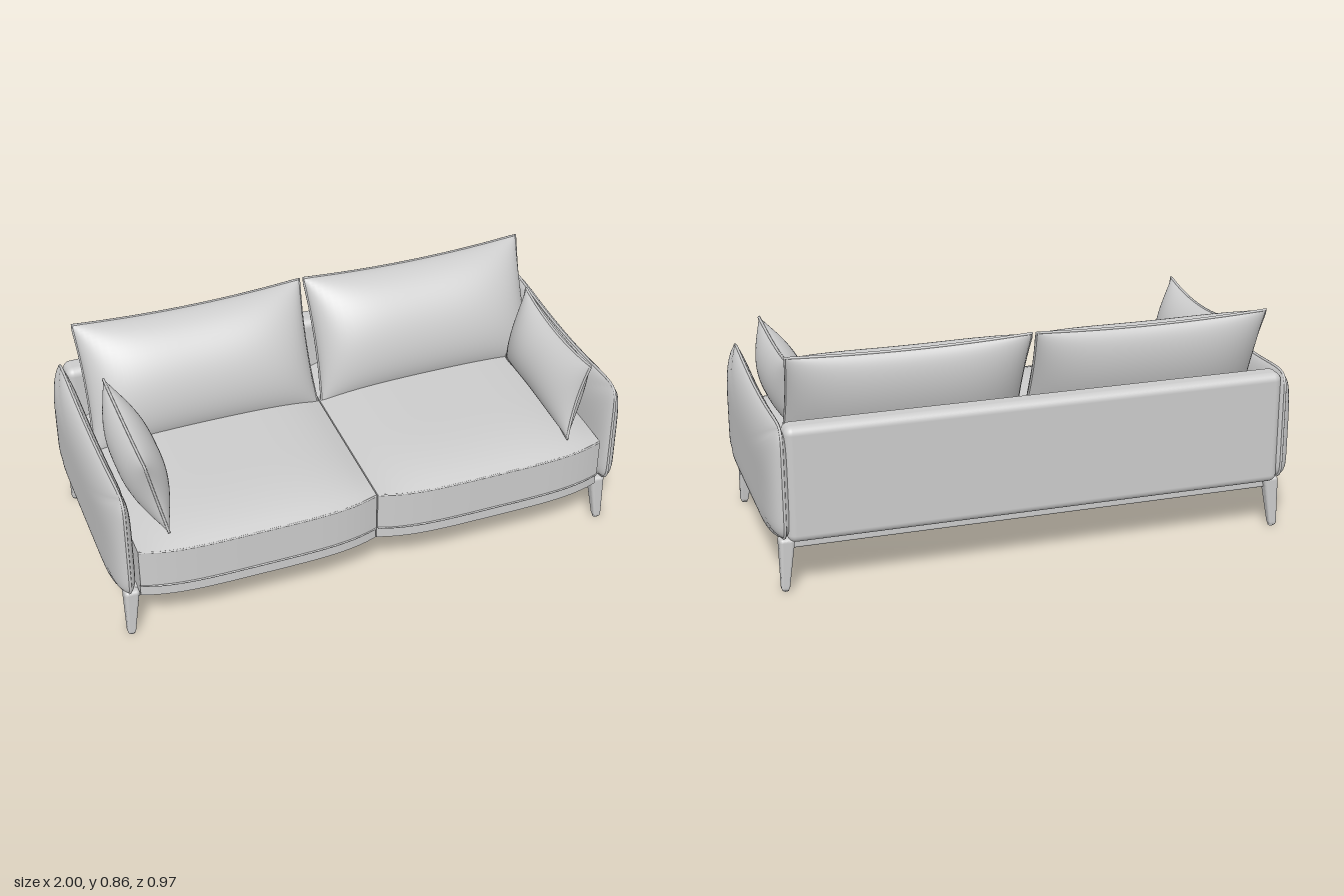
import * as THREE from 'three';
import { RoundedBoxGeometry } from 'three/addons/geometries/RoundedBoxGeometry.js';

const upholstery = new THREE.MeshStandardMaterial({ color: 0xcccccc });
upholstery.name = 'light grey';

function addMesh(parent, name, geometry, x = 0, y = 0, z = 0) {
  const mesh = new THREE.Mesh(geometry, upholstery);
  mesh.name = name;
  mesh.position.set(x, y, z);
  parent.add(mesh);
  return mesh;
}

function piping(points, closed, radius = 0.005) {
  const path = new THREE.CatmullRomCurve3(points, closed);
  return new THREE.TubeGeometry(path, points.length * 2, radius, 6, closed);
}

// Two bulging shells meeting at a piped seam; u and v run from -1 to 1
function pillow(name, outline, front, back) {
  const n = 32;
  const at = i => Math.sin((i / n - 0.5) * Math.PI);
  const group = new THREE.Group();
  group.name = name;
  [1, -1].forEach(side => {
    const pos = [], index = [];
    for (let j = 0; j <= n; j++) {
      for (let i = 0; i <= n; i++) {
        const u = at(i), v = at(j);
        const depth = side > 0 ? front(u, v) : -back(u, v);
        pos.push(...outline(u, v), depth);
        if (i < n && j < n) {
          const a = j * (n + 1) + i, b = a + 1, c = a + n + 1, d = c + 1;
          if (side > 0) index.push(a, b, d, a, d, c);
          else index.push(a, d, b, a, c, d);
        }
      }
    }
    const geometry = new THREE.BufferGeometry();
    geometry.setAttribute('position', new THREE.Float32BufferAttribute(pos, 3));
    geometry.setIndex(index);
    geometry.computeVertexNormals();
    addMesh(group, name + (side > 0 ? 'Front' : 'Back'), geometry);
  });
  const seam = [];
  const corners = [[-1, -1], [1, -1], [1, 1], [-1, 1]];
  corners.forEach(([u0, v0], k) => {
    const [u1, v1] = corners[(k + 1) % 4];
    for (let i = 0; i < n; i += 2) {
      const t = (at(i) + 1) / 2;
      const p = outline(u0 + (u1 - u0) * t, v0 + (v1 - v0) * t);
      seam.push(new THREE.Vector3(p[0], p[1], 0));
    }
  });
  addMesh(group, name + 'Piping', piping(seam, true));
  return group;
}

// Fall-off from the middle of a cushion to its seam
const soft = (t, power, root = 0.5) => Math.pow(Math.max(0, 1 - Math.pow(Math.abs(t), power)), root);

// Cushion outline with slightly hollow edges and pointed corners
const cushionOutline = (w, h, dip) => (u, v) => [
  w * u * (1 - dip * 0.4 * (1 - v * v)),
  h * v * (1 - dip * (1 - u * u)),
];

function makeArm(s) {
  const outline = (u0, v0) => {
    // round the corners of the square
    const m = Math.max(Math.abs(u0), Math.abs(v0));
    const k = m < 1e-6 ? 1 : m / Math.pow((Math.abs(u0) ** 10) + (Math.abs(v0) ** 10), 0.1);
    const u = u0 * k, v = v0 * k, f = -s * u;
    const top = 0.62 + 0.01 * f + 0.037 * f * f;
    return [s * 0.0175 + 0.4675 * u, 0.2 + (top - 0.2) * (v + 1) / 2];
  };
  const bulge = (u, v) => soft(u, 8) * (v > 0 ? soft(v, 3, 0.6) : soft(v, 10));
  const arm = pillow(s > 0 ? 'leftArm' : 'rightArm', outline,
    (u, v) => 0.055 * bulge(u, v), (u, v) => 0.04 * bulge(u, v));
  arm.position.x = s * 0.945;
  arm.rotation.y = s * Math.PI / 2;
  return arm;
}

// Seat slab with a bowed front and, optionally, a crowned top
const seatFront = (u, z) => z + 0.043 * (1 - u ** 4);
function seatSlab(y0, y1, zFront, crown) {
  const geometry = new THREE.BoxGeometry(2, 2, 2, 24, 4, 24);
  const p = geometry.attributes.position;
  for (let i = 0; i < p.count; i++) {
    const u = p.getX(i), v = p.getY(i), w = p.getZ(i);
    const y = y0 + (y1 - y0) * (v + 1) / 2;
    const rise = v > 0 ? v * crown * (1 - u ** 4) * (1 - Math.max(w, 0) ** 4) : 0;
    p.setXYZ(i, u * 0.452, y + rise, -0.4 + (seatFront(u, zFront) + 0.4) * (w + 1) / 2);
  }
  geometry.computeVertexNormals();
  return geometry;
}

function makeSeat(s) {
  const seat = new THREE.Group();
  seat.name = s > 0 ? 'leftSeat' : 'rightSeat';
  addMesh(seat, 'seatBase', seatSlab(0.2, 0.25, 0.43, 0));
  addMesh(seat, 'seatCushion', seatSlab(0.25, 0.408, 0.438, 0.05));
  [0.25, 0.406].forEach(y => {
    const line = [];
    for (let i = 0; i <= 12; i++) {
      const u = i / 6 - 1;
      line.push(new THREE.Vector3(u * 0.45, y, seatFront(u, 0.438)));
    }
    addMesh(seat, 'seatPiping', piping(line, false, 0.004));
  });
  seat.position.x = s * 0.454;
  return seat;
}

// Leg that tapers downwards, keeping its outer faces upright
function makeLeg(sx, sz, zOuter) {
  const geometry = new RoundedBoxGeometry(0.058, 0.2, 0.06, 4, 0.014);
  const p = geometry.attributes.position;
  for (let i = 0; i < p.count; i++) {
    const k = 0.5 + 0.5 * (p.getY(i) / 0.2 + 0.5);
    p.setX(i, sx * (0.96 - (0.029 - sx * p.getX(i)) * k));
    p.setZ(i, sz * (zOuter - (0.03 - sz * p.getZ(i)) * k));
  }
  geometry.computeVertexNormals();
  return geometry;
}

export function createModel() {
  const model = new THREE.Group();
  model.name = 'sofa';

  // Backrest panel
  addMesh(model, 'backPanel', new RoundedBoxGeometry(1.87, 0.435, 0.095, 5, 0.03), 0, 0.4175, -0.438);

  [1, -1].forEach(s => {
    model.add(makeArm(s), makeSeat(s));

    // Back cushion, leaning on the backrest
    const puff = (u, v) => soft(u, 4) * soft(v, 2, 0.6);
    const back = pillow(s > 0 ? 'leftBackCushion' : 'rightBackCushion', cushionOutline(0.447, 0.25, 0.07),
      (u, v) => 0.13 * puff(u, v), (u, v) => 0.1 * puff(u, v));
    back.position.set(s * 0.455, 0.625, -0.275);
    back.rotation.x = -0.42;
    model.add(back);

    // Throw pillow, leaning on the arm
    const plump = (u, v) => 0.083 * soft(u, 3, 0.6) * soft(v, 2, 0.6);
    const toss = pillow(s > 0 ? 'leftThrowPillow' : 'rightThrowPillow', cushionOutline(0.28, 0.163, 0.16), plump, plump);
    toss.position.set(s * 0.815, 0.595, 0.13);
    toss.rotation.order = 'ZYX';
    toss.rotation.set(0, s * Math.PI / 2, -s * 0.22);
    model.add(toss);

    // Side rail and corner legs
    addMesh(model, 'sideRail', new RoundedBoxGeometry(0.04, 0.05, 0.8, 3, 0.008), s * 0.925, 0.18, -0.015);
    addMesh(model, 'frontLeg', makeLeg(s, 1, 0.412), 0, 0.103, 0);
    addMesh(model, 'backLeg', makeLeg(s, -1, 0.445), 0, 0.103, 0);
  });

  // Long rails and centre leg
  [0.366, -0.398].forEach(z =>
    addMesh(model, 'longRail', new RoundedBoxGeometry(1.86, 0.05, 0.04, 3, 0.008), 0, 0.18, z));
  addMesh(model, 'centreLeg', new RoundedBoxGeometry(0.037, 0.205, 0.037, 4, 0.012), 0, 0.1045, -0.008);

  // Small foot pads
  [[0.943, 0.396], [-0.943, 0.396], [0.943, -0.429], [-0.943, -0.429], [0, -0.008]].forEach(([x, z]) =>
    addMesh(model, 'footPad', new THREE.CylinderGeometry(0.011, 0.011, 0.006, 16), x, 0.003, z));

  return model;
}
